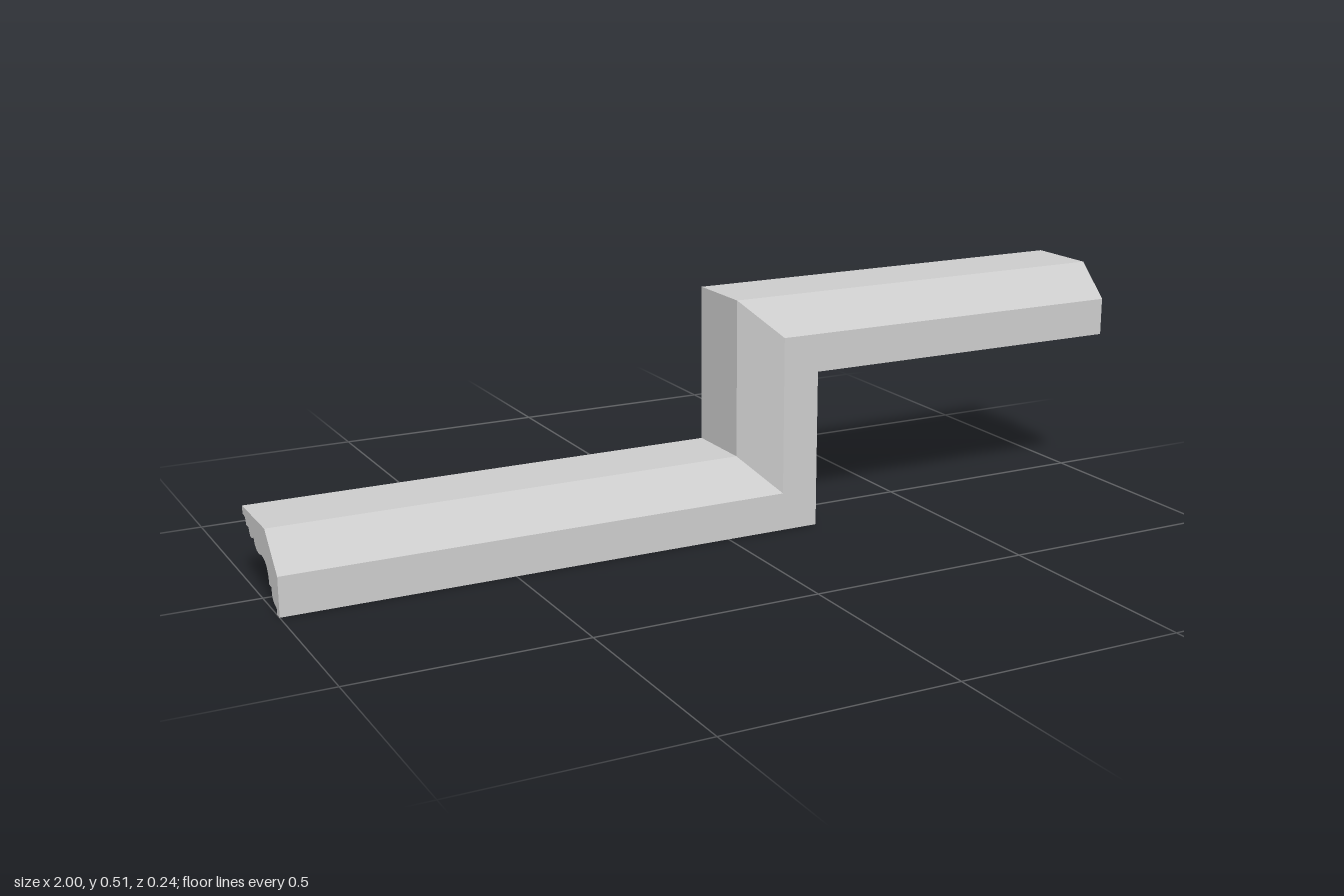
import * as THREE from 'three';
import { toCreasedNormals } from 'three/addons/utils/BufferGeometryUtils.js';

// Moulding cross-section: first coordinate is z, second is depth below the outer face.
function mouldingProfile() {
  const s = new THREE.Shape();
  s.moveTo(-0.12, 0);
  s.lineTo(0.045, 0);
  s.lineTo(0.121, 0.076); // chamfer
  s.lineTo(0.121, 0.161); // front face
  s.lineTo(0.103, 0.161);
  s.lineTo(0.103, 0.147);
  s.bezierCurveTo(0.085, 0.145, 0.073, 0.138, 0.073, 0.121); // small ovolo
  s.lineTo(0.073, 0.113);
  s.lineTo(0.057, 0.113);
  s.bezierCurveTo(0.057, 0.083, 0.038, 0.066, 0.012, 0.066); // large cyma
  s.bezierCurveTo(0.004, 0.066, 0.002, 0.069, -0.006, 0.069);
  s.bezierCurveTo(-0.028, 0.069, -0.04, 0.059, -0.043, 0.043);
  s.bezierCurveTo(-0.048, 0.049, -0.054, 0.051, -0.061, 0.051); // bead
  s.bezierCurveTo(-0.07, 0.051, -0.076, 0.044, -0.077, 0.034);
  s.lineTo(-0.097, 0.034);
  s.bezierCurveTo(-0.097, 0.024, -0.101, 0.018, -0.109, 0.018); // small cove
  s.lineTo(-0.12, 0.018);
  return s.getPoints(10);
}

export function createModel() {
  const group = new THREE.Group();
  const material = new THREE.MeshStandardMaterial({ color: 0xcccccc });
  const profile = mouldingProfile();
  if (profile[0].distanceTo(profile[profile.length - 1]) < 1e-6) profile.pop();
  const n = profile.length;

  // Sections at the two ends and the two mitred corners.
  const stations = [
    d => [-1, 0.161 - d],
    d => [0.06 + d, 0.161 - d],
    d => [0.06 + d, 0.513 - d],
    d => [1, 0.513 - d],
  ];
  const loops = stations.map(at => profile.map(p => [...at(p.y), p.x]));

  const addMesh = (name, triangles) => {
    const g = new THREE.BufferGeometry();
    g.setAttribute('position', new THREE.Float32BufferAttribute(triangles.flat(2), 3));
    const mesh = new THREE.Mesh(toCreasedNormals(g, 0.55), material);
    mesh.name = name;
    group.add(mesh);
  };

  // Three mitred lengths of moulding
  ['lowerRun', 'riser', 'upperRun'].forEach((name, k) => {
    const [a, b] = [loops[k], loops[k + 1]];
    const triangles = [];
    for (let i = 0; i < n; i++) {
      const j = (i + 1) % n;
      triangles.push([a[i], a[j], b[i]], [a[j], b[j], b[i]]);
    }
    addMesh(name, triangles);
  });

  // Flat cut ends
  const faces = THREE.ShapeUtils.triangulateShape(profile, []);
  addMesh('leftEnd', faces.map(f => f.map(i => loops[3][i])));
  addMesh('rightEnd', faces.map(([a, b, c]) => [c, b, a].map(i => loops[0][i])));

  return group;
}
